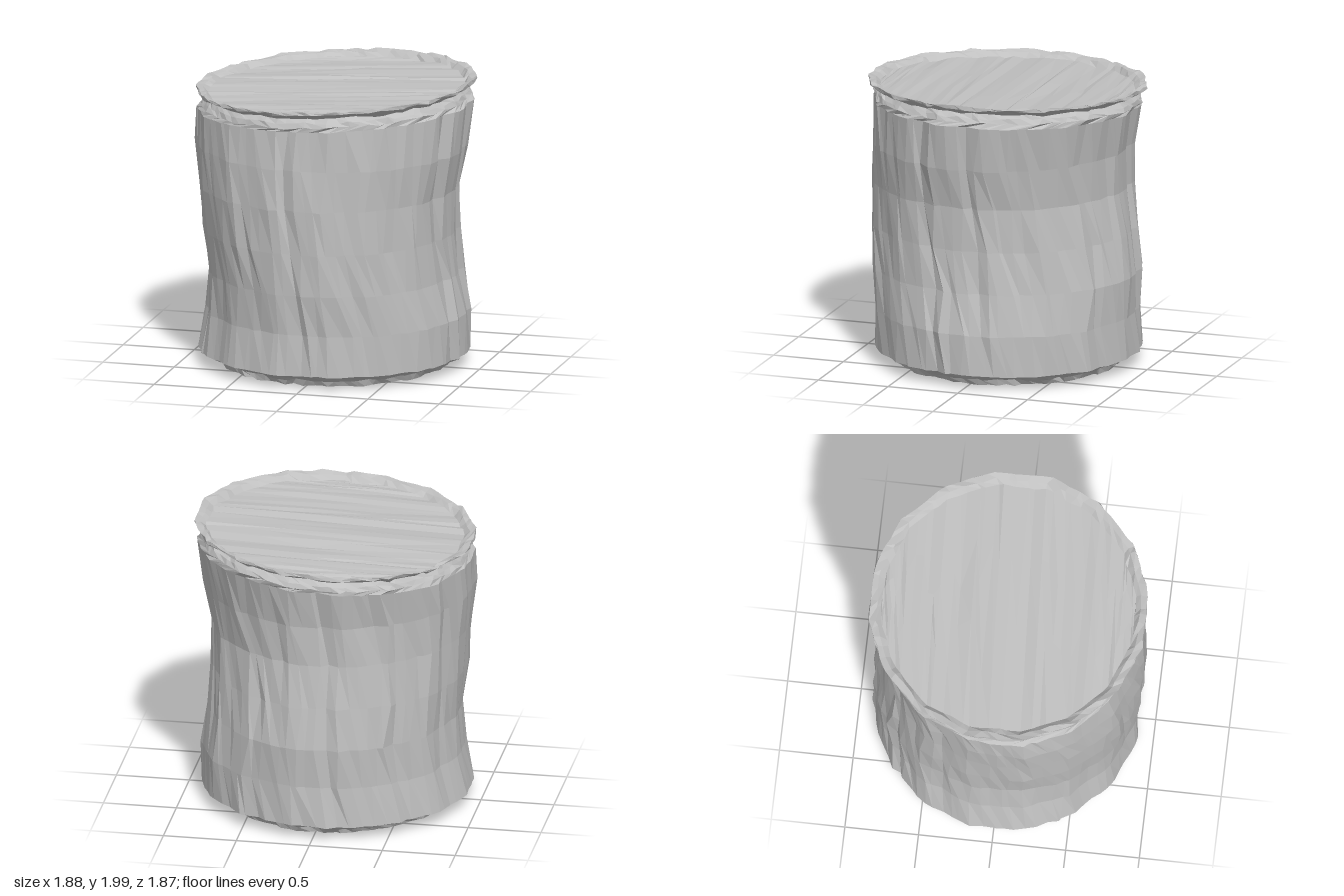
import * as THREE from 'three';

const SEG = 80;               // points around each ring
const SIDE = Math.PI / 8;     // the log is a rough sixteen-sided prism

// small seeded noise, -1..1
let seed = 7;
function noise() {
  seed = (seed * 16807) % 2147483647;
  return (seed / 2147483647) * 2 - 1;
}

// vertical grain shared by all bark rings, with a few deeper grooves
const grain = Array.from({ length: SEG }, () => {
  const n = noise();
  return n < -0.6 ? n * 2.2 : n * 0.5;
});

// one uneven ring: extents in x and z, tilt and roughness
function ring({ y, x0, x1, z0, z1, tilt = 0, twist = 0, rough = 0.008, bump = 0, groove = 0 }) {
  const points = [];
  for (let i = 0; i < SEG; i++) {
    const a = (i / SEG) * Math.PI * 2 + twist + noise() * 0.03;
    const rel = a - Math.round(a / SIDE) * SIDE;
    const k = 1 / Math.cos(rel) - 0.008 + noise() * rough + grain[i] * groove;
    const x = (x0 + x1) / 2 + Math.sin(a) * k * (x1 - x0) / 2;
    const z = (z0 + z1) / 2 + Math.cos(a) * k * (z1 - z0) / 2;
    points.push(new THREE.Vector3(x, y + tilt * x + noise() * bump, z));
  }
  return points;
}

function facetedMesh(name, triangles, material) {
  const geometry = new THREE.BufferGeometry().setFromPoints(triangles);
  geometry.computeVertexNormals();
  const mesh = new THREE.Mesh(geometry, material);
  mesh.name = name;
  return mesh;
}

// skin a stack of rings, listed from the bottom up (or inwards over the lip)
function wall(name, rings, material) {
  const tris = [];
  for (let r = 0; r + 1 < rings.length; r++) {
    const lo = rings[r], hi = rings[r + 1];
    for (let i = 0; i < SEG; i++) {
      const j = (i + 1) % SEG;
      tris.push(lo[i], lo[j], hi[i], lo[j], hi[j], hi[i]);
    }
  }
  return facetedMesh(name, tris, material);
}

// close a ring with splintered rows of wood running from side to side
function cutFace(name, points, up, material) {
  const tris = [];
  const add = (a, b, c) => (up ? tris.push(a, b, c) : tris.push(a, c, b));
  const rows = [];
  for (let k = 1; k < SEG / 2; k++) {
    const left = points[SEG - k], right = points[k];
    const inner = [0.33, 0.67].map((t) => {
      const p = left.clone().lerp(right, t + noise() * 0.12);
      p.y += noise() * 0.007;
      return p;
    });
    rows.push([left, ...inner, right]);
  }
  for (let k = 0; k + 1 < rows.length; k++) {
    const near = rows[k], far = rows[k + 1];
    for (let c = 0; c < 3; c++) {
      add(near[c], near[c + 1], far[c + 1]);
      add(near[c], far[c + 1], far[c]);
    }
  }
  // end splinters at the front and back of the ring
  const first = rows[0], last = rows[rows.length - 1];
  for (let c = 0; c < 3; c++) {
    add(points[0], first[c + 1], first[c]);
    add(points[SEG / 2], last[c], last[c + 1]);
  }
  return facetedMesh(name, tris, material);
}

export function createModel() {
  const wood = new THREE.MeshStandardMaterial({ color: 0xc0c0c0 });
  wood.name = 'wood grey';
  wood.flatShading = true;
  wood.side = THREE.DoubleSide;

  // bark rings: y, left, right, back, front
  const bark = [
    [0.10, -0.935, 0.90, -0.91, 0.90],
    [0.38, -0.88, 0.90, -0.90, 0.89],
    [0.66, -0.86, 0.85, -0.915, 0.92],
    [0.95, -0.89, 0.83, -0.88, 0.93],
    [1.25, -0.91, 0.835, -0.84, 0.93],
    [1.53, -0.935, 0.89, -0.845, 0.92],
    [1.80, -0.935, 0.925, -0.895, 0.90],
  ].map(([y, x0, x1, z0, z1], i) => ring({
    y, x0, x1, z0, z1, twist: -0.02 * i, tilt: i === 6 ? 0.045 : 0,
    rough: 0.009, groove: 0.012, bump: 0.004,
  }));

  // ragged neck and raised lip, ending at the sunken cut: y, radius
  const lip = [
    [1.83, 0.905], [1.86, 0.89], [1.885, 0.865], [1.925, 0.938], [1.943, 0.938],
    [1.935, 0.895], [1.905, 0.86],
  ].map(([y, r]) => ring({
    y, x0: -r - 0.008, x1: r + 0.003, z0: -r, z1: r, tilt: 0.05, twist: 0.04, rough: 0.008, bump: 0.009,
  }));

  // undercut foot, starting at the bottom cut: y, radius
  const foot = [[0.022, 0.75], [0.012, 0.775], [0.05, 0.795], [0.07, 0.835]].map(([y, r]) => ring({
    y, x0: -r - 0.015, x1: r - 0.01, z0: -r, z1: r, rough: 0.01, bump: 0.008,
  }));

  const log = new THREE.Group();
  log.name = 'log';
  log.add(
    wall('bark', bark, wood),
    wall('topLip', [bark[bark.length - 1], ...lip], wood),
    wall('foot', [...foot, bark[0]], wood),
    cutFace('topFace', lip[lip.length - 1], true, wood),
    cutFace('bottomFace', foot[0], false, wood),
  );
  return log;
}
